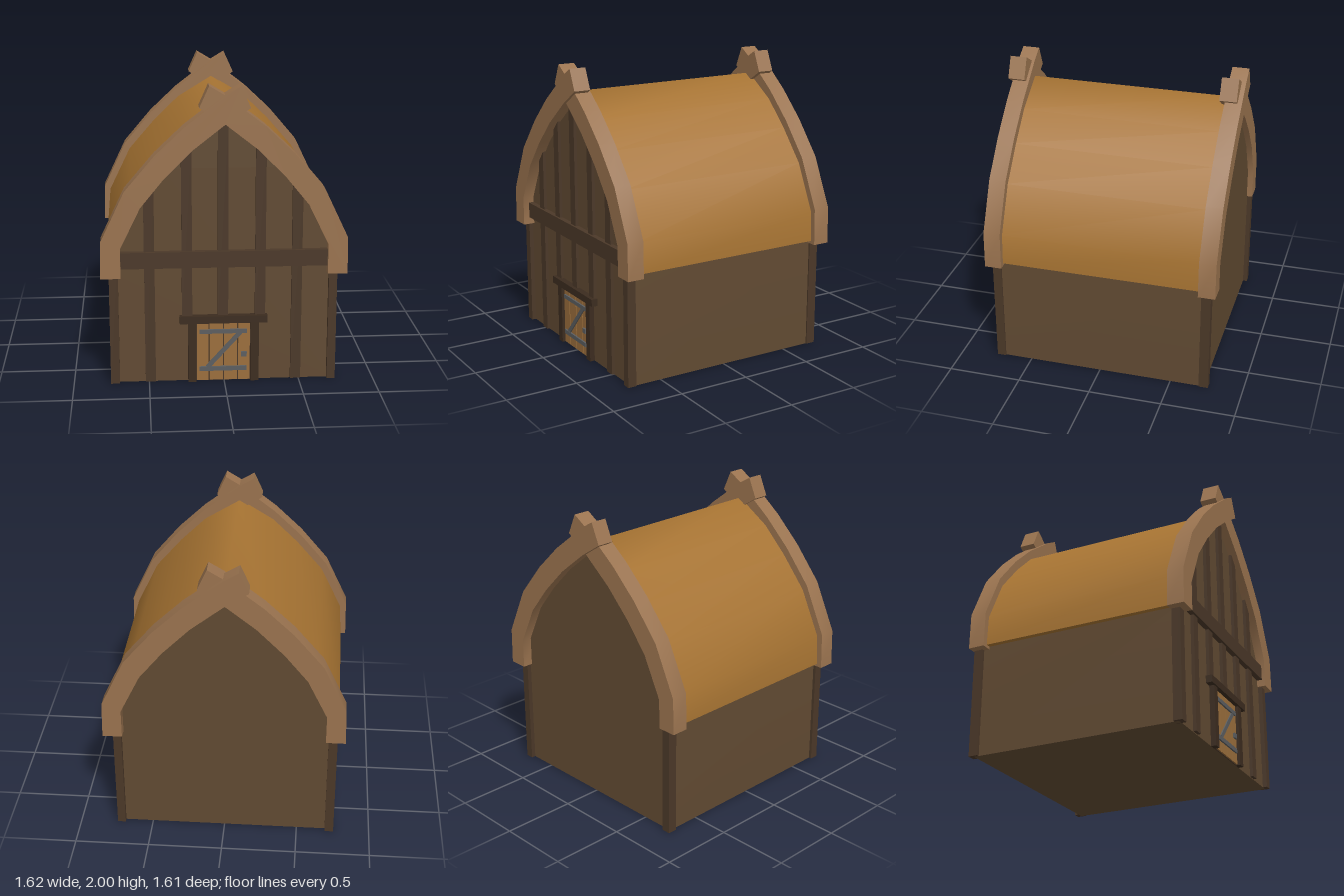
import * as THREE from 'three';
import { toCreasedNormals } from 'three/addons/utils/BufferGeometryUtils.js';

const mat = (color) => new THREE.MeshStandardMaterial({ color });
const M = {
  wall: mat(0x614a32), timber: mat(0x4b3828), frame: mat(0x3c2c1f),
  beam: mat(0x9a734f), roof: mat(0xa67332), door: mat(0x9c6f3c), iron: mat(0x5c5e60),
};

export function createModel() {
  const model = new THREE.Group();

  const add = (name, geometry, material, parent = model) => {
    const mesh = new THREE.Mesh(geometry, material);
    mesh.name = name;
    parent.add(mesh);
    return mesh;
  };
  // Box given by its min and max on each axis
  const box = (name, material, x0, x1, y0, y1, z0, z1, parent) => {
    const mesh = add(name, new THREE.BoxGeometry(x1 - x0, y1 - y0, z1 - z0), material, parent);
    mesh.position.set((x0 + x1) / 2, (y0 + y1) / 2, (z0 + z1) / 2);
    return mesh;
  };
  // Outline in x, y extruded from z0 to z1
  const slab = (name, material, points, z0, z1, crease) => {
    const shape = new THREE.Shape(points.map(([x, y]) => new THREE.Vector2(x, y)));
    const geometry = new THREE.ExtrudeGeometry(shape, { depth: z1 - z0, bevelEnabled: false });
    geometry.translate(0, 0, z0);
    return add(name, toCreasedNormals(geometry, crease), material);
  };
  const mirrorX = (points) => points.map(([x, y]) => [-x, y]);
  // Half profile from eave to ridge, completed to a full arch
  const arch = (half) => [...half, ...mirrorX(half.slice(0, -1)).reverse()];

  // Solid house body with arched gables
  const inner = [[0.735, 0.77], [0.725, 0.96], [0.58, 1.25], [0.4, 1.46], [0.22, 1.63], [0, 1.785]];
  slab('walls', M.wall, arch([[0.735, 0], ...inner]), -0.735, 0.72, 0.3);

  // Curved roof shell
  const outer = [[0.77, 0.77], [0.76, 0.98], [0.61, 1.29], [0.425, 1.505], [0.245, 1.68], [0, 1.83]];
  slab('roof', M.roof, [...arch(outer), ...arch(inner).reverse()], -0.69, 0.69, 1.25);

  // Curved bargeboards, crossing above the ridge
  const board = [
    [0.808, 0.75], [0.802, 1.0], [0.645, 1.33], [0.45, 1.56], [0.26, 1.74], [0, 1.94], [-0.1, 2.0],
    [-0.163, 1.86], [0, 1.755], [0.21, 1.59], [0.39, 1.41], [0.545, 1.22], [0.677, 0.95], [0.677, 0.75],
  ];
  slab('frontLeftBargeboard', M.beam, board, 0.665, 0.78, 0.6);
  slab('frontRightBargeboard', M.beam, mirrorX(board), 0.685, 0.8, 0.6);
  slab('backLeftBargeboard', M.beam, board, -0.805, -0.69, 0.6);
  slab('backRightBargeboard', M.beam, mirrorX(board), -0.775, -0.66, 0.6);

  // Corner posts
  for (const [x0, x1] of [[-0.755, -0.695], [0.69, 0.745]]) {
    box('frontPost', M.timber, x0, x1, 0, 0.9, 0.69, 0.75);
    box('backPost', M.timber, x0, x1, 0, 0.9, -0.765, -0.7);
  }

  // Gable battens and cross beam
  [[-0.49, 1.36], [-0.245, 1.62], [-0.008, 1.78], [0.237, 1.62], [0.478, 1.36]].forEach(([x, top], i) => {
    const bottom = i > 0 && i < 4 ? 0.44 : 0.005;
    box('batten', M.timber, x - 0.034, x + 0.034, bottom, top, 0.7, 0.742);
  });
  box('crossBeam', M.timber, -0.69, 0.69, 0.8, 0.91, 0.7, 0.757);

  // Door frame
  box('doorJamb', M.frame, -0.24, -0.185, 0, 0.42, 0.7, 0.755);
  box('doorJamb', M.frame, 0.175, 0.23, 0, 0.42, 0.7, 0.755);
  box('lintel', M.frame, -0.295, 0.285, 0.415, 0.465, 0.7, 0.765);

  // Plank door with iron straps, brace and latch
  const door = new THREE.Group();
  door.name = 'door';
  model.add(door);
  box('doorBacking', M.timber, -0.185, 0.175, 0, 0.415, 0.7, 0.728, door);
  const seams = [-0.185, -0.1, -0.005, 0.09, 0.175];
  for (let i = 0; i < 4; i++) {
    box('doorPlank', M.door, seams[i] + 0.004, seams[i + 1] - 0.004, 0.004, 0.415, 0.71, 0.736, door);
  }
  box('lowerStrap', M.iron, -0.165, 0.15, 0.073, 0.103, 0.72, 0.747, door);
  box('upperStrap', M.iron, -0.165, 0.15, 0.337, 0.365, 0.72, 0.747, door);
  box('latch', M.iron, 0.112, 0.15, 0.172, 0.205, 0.72, 0.75, door);
  const brace = add('brace', new THREE.BoxGeometry(0.325, 0.03, 0.024), M.iron, door);
  brace.position.set(-0.002, 0.22, 0.732);
  brace.rotation.z = Math.atan2(0.245, 0.22);

  return model;
}
